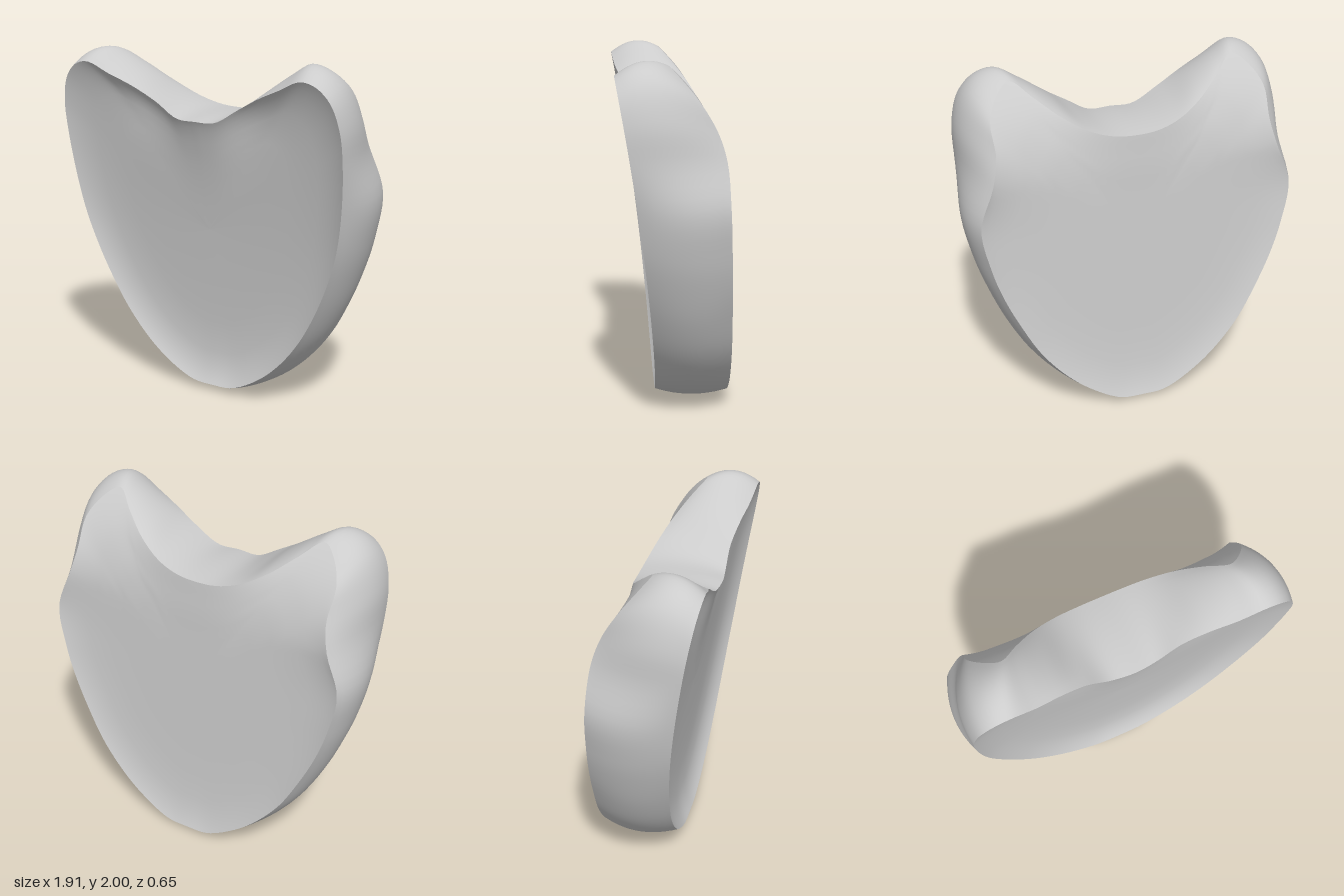
import * as THREE from 'three';

const SEG = 160;

// Half outlines, bottom centre -> horn -> notch centre, as [x, y]
const FRONT = [[0, .04], [.14, .05], [.31, .135], [.455, .255], [.595, .425], [.71, .625], [.8, .83], [.86, 1.02],
  [.9, 1.25], [.92, 1.5], [.915, 1.68], [.87, 1.83], [.79, 1.91], [.7, 1.93], [.56, 1.87], [.42, 1.81],
  [.27, 1.73], [.13, 1.65], [0, 1.645]];
const MIDDLE = [[0, 0], [.13, .008], [.34, .105], [.5, .23], [.645, .4], [.76, .6], [.845, .8], [.91, 1],
  [.955, 1.25], [.918, 1.5], [.907, 1.7], [.86, 1.88], [.78, 1.97], [.68, 2], [.57, 1.95], [.42, 1.85],
  [.28, 1.74], [.15, 1.68], [0, 1.67]];
const BACK = [[0, .03], [.14, .04], [.32, .14], [.46, .26], [.6, .43], [.71, .63], [.8, .83], [.86, 1.02],
  [.9, 1.27], [.82, 1.5], [.785, 1.65], [.785, 1.81], [.72, 1.92], [.64, 1.97], [.53, 1.89], [.4, 1.79],
  [.26, 1.71], [.13, 1.67], [0, 1.66]];

const bell = (d, width) => Math.exp(-((d / width) ** 2));

// Depth of the two end faces; the front recedes beside the notch, the back leans forward behind the horns
const frontZ = (x, y) => .095 + .05 * y + .036 * y * y
  - .035 * bell(y - 1.75, .25) * bell(Math.abs(x) - .3, .23);
const backZ = (x, y) => -.325 + .05 * y + .295 * Math.max(0, (y - 1.45) / .55) ** 1.9;

// How far each face is hollowed
const frontDish = (x, y) => -.08 + .015 * y + .025 * bell(x, .4) * bell(y - 1.65, .3);
const backDish = (x, y) => .045 * (1 - THREE.MathUtils.smoothstep(y, 1.5, 1.95));

// Mirrors a half outline and samples it as a smooth closed loop
function outline(half, zAt) {
  const mirrored = half.slice(1, -1).reverse().map(([x, y]) => [-x, y]);
  const points = [...half, ...mirrored].map(([x, y]) => new THREE.Vector3(x, y, zAt(x, y)));
  const curve = new THREE.CatmullRomCurve3(points, true, 'centripetal');
  return Array.from({ length: SEG }, (_, i) => curve.getPoint(i / SEG));
}

// Skins a list of closed loops
function loft(rings) {
  const positions = [], index = [];
  for (const ring of rings) for (const p of ring) positions.push(p.x, p.y, p.z);
  for (let r = 0; r < rings.length - 1; r++) {
    for (let i = 0; i < SEG; i++) {
      const j = (i + 1) % SEG;
      const a = r * SEG + i, b = r * SEG + j, c = a + SEG, d = b + SEG;
      index.push(a, b, d, a, d, c);
    }
  }
  const geometry = new THREE.BufferGeometry();
  geometry.setAttribute('position', new THREE.Float32BufferAttribute(positions, 3));
  geometry.setIndex(index);
  geometry.computeVertexNormals();
  return geometry;
}

// Shrinks a rim towards the middle, sinking it into a shallow dish
function dish(rim, zAt, depthAt) {
  const centre = new THREE.Vector3(0, 1, 0);
  const inner = [.98, .95, .91, .86, .8, .7, .6, .45, .25, 0].map((s) => rim.map((p) => {
    const q = centre.clone().lerp(p, s);
    q.z = zAt(q.x, q.y) + depthAt(q.x, q.y) * (1 - s ** 8);
    return q;
  }));
  return [rim, ...inner];
}

export function createModel() {
  const group = new THREE.Group();
  group.name = 'heartShapedBlock';
  const material = new THREE.MeshStandardMaterial({ color: 0xcccccc });
  const add = (name, geometry) => {
    const mesh = new THREE.Mesh(geometry, material);
    mesh.name = name;
    group.add(mesh);
  };

  const front = outline(FRONT, frontZ);
  const back = outline(BACK, backZ);
  const middle = outline(MIDDLE, () => 0);
  middle.forEach((p, i) => { p.z = (front[i].z + back[i].z) / 2; });

  // Bulging side wall: a parabola through back rim, middle and front rim
  const wall = [];
  for (let k = 0; k <= 12; k++) {
    const t = k / 12;
    const wb = (1 - t) * (1 - 2 * t), wm = 4 * t * (1 - t), wf = t * (2 * t - 1);
    wall.push(back.map((p, i) => p.clone().multiplyScalar(wb)
      .addScaledVector(middle[i], wm).addScaledVector(front[i], wf)));
  }
  add('sideWall', loft(wall));

  // Dished end faces
  add('frontFace', loft(dish(front, frontZ, frontDish)));
  add('backFace', loft(dish(back, backZ, backDish).reverse()));
  return group;
}
